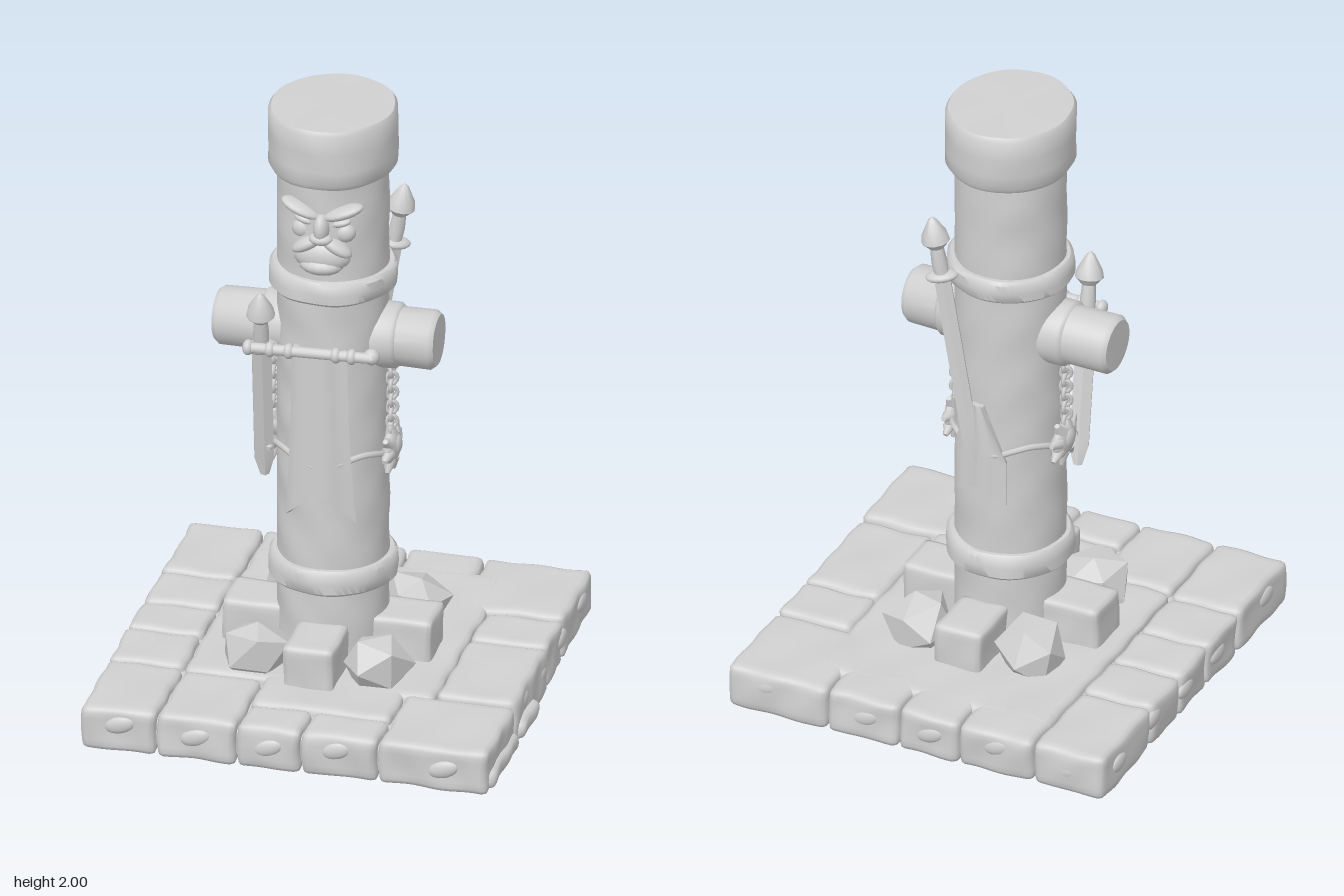
import * as THREE from 'three';
import { mergeVertices, toCreasedNormals } from 'three/addons/utils/BufferGeometryUtils.js';

const stoneGrey = new THREE.MeshStandardMaterial({ color: 0xd0d0d0 });
stoneGrey.name = 'stone grey';

function add(parent, name, geometry, x = 0, y = 0, z = 0) {
  const mesh = new THREE.Mesh(geometry, stoneGrey);
  mesh.name = name;
  mesh.position.set(x, y, z);
  parent.add(mesh);
  return mesh;
}

function group(parent, name, x = 0, y = 0, z = 0) {
  const g = new THREE.Group();
  g.name = name;
  g.position.set(x, y, z);
  parent.add(g);
  return g;
}

// Moves every vertex by a rule
function reshape(geo, rule) {
  const p = geo.attributes.position, v = new THREE.Vector3();
  for (let i = 0; i < p.count; i++) {
    rule(v.fromBufferAttribute(p, i));
    p.setXYZ(i, v.x, v.y, v.z);
  }
  geo.computeVertexNormals();
  return geo;
}

// Smooth wear, the same for touching stones
const wear = (v, amp) => {
  const { x, y, z } = v;
  v.x += amp * Math.sin(31 * y + 17 * z + 1) * Math.sin(23 * z + 2);
  v.y += amp * Math.sin(19 * x + 1) * Math.sin(16 * z + 9 * x) * 0.7;
  v.z += amp * Math.sin(29 * y + 15 * x + 4) * Math.sin(21 * x);
};

// Rounded, worn block between two corners
function block(parent, name, [x0, x1], [y0, y1], [z0, z1], r = 0.02, amp = 0.005) {
  const size = [x1 - x0, y1 - y0, z1 - z0];
  const raw = new THREE.BoxGeometry(...size, ...size.map(s => Math.ceil(s / 0.02)));
  raw.deleteAttribute('uv');
  raw.deleteAttribute('normal');
  const half = new THREE.Vector3(...size).multiplyScalar(0.5).subScalar(r);
  const low = half.clone().negate(), inner = new THREE.Vector3();
  const centre = new THREE.Vector3(x0 + x1, y0 + y1, z0 + z1).multiplyScalar(0.5);
  return add(parent, name, reshape(mergeVertices(raw), v => {
    inner.copy(v).clamp(low, half);
    v.sub(inner).setLength(r).add(inner).add(centre);
    wear(v, amp);
  }));
}

// Turned part with crisp rims
function turned(parent, name, profile, amp = 0.003, segments = 56) {
  const geo = new THREE.LatheGeometry(profile.map(p => new THREE.Vector2(...p)), segments);
  reshape(geo, v => wear(v, amp));
  return add(parent, name, toCreasedNormals(geo, 0.75));
}

function blob(parent, name, x, y, z, sx, sy, sz, tilt = 0) {
  const m = add(parent, name, new THREE.SphereGeometry(1, 16, 12), x, y, z);
  m.scale.set(sx, sy, sz);
  m.rotation.z = tilt;
  return m;
}

// Swallow-tailed cloth wrapped round the shaft; width is a function of t
function cloth(parent, name, top, length, notch, width, radius) {
  const geo = new THREE.BoxGeometry(1, 1, 0.02, 12, 20, 1);
  reshape(geo, v => {
    const t = 0.5 - v.y;
    const a = (v.x * width(t)) / radius;
    const R = radius + v.z + 0.004 * Math.sin(v.x * 14);
    const y = top - t * (length - notch * (1 - Math.abs(v.x) * 2));
    v.set(Math.sin(a) * R, y, Math.cos(a) * R);
  });
  return add(parent, name, toCreasedNormals(geo, 0.7));
}

function sword(parent, name, from, to, bladeWidth, turn) {
  const a = new THREE.Vector3(...from), d = new THREE.Vector3(...to).sub(a), len = d.length();
  const g = group(parent, name, ...from);
  g.quaternion.setFromUnitVectors(new THREE.Vector3(0, -1, 0), d.normalize());
  g.rotateY(turn);
  turned(g, 'swordPommel', [[0, -0.11], [0.024, -0.108], [0.045, -0.085], [0.04, -0.06], [0.014, -0.012], [0, 0]], 0, 12);
  turned(g, 'swordGrip', [[0, -0.22], [0.022, -0.22], [0.025, -0.16], [0.02, -0.09], [0, -0.09]], 0, 12);
  blob(g, 'swordGuard', 0, -0.21, 0, 0.052, 0.018, 0.035);
  const bl = len - 0.2;
  const blade = reshape(new THREE.BoxGeometry(1, bl, 0.03, 2, 8, 1), v => {
    const t = 0.5 - v.y / bl;
    v.z *= v.x === 0 ? 1 : 0.5;
    v.x *= bladeWidth * (t > 0.95 ? 0.45 : 1);
  });
  add(g, 'swordBlade', toCreasedNormals(blade, 0.4), 0, -0.2 - bl / 2, 0);
}

// Paved base
function buildBase(root) {
  const base = group(root, 'base');
  const Y = [0.006, 0.152];
  const tile = (x, z) => block(base, 'pavingStone', x, Y, z);
  block(base, 'baseCore', [-0.62, 0.6], [0.022, 0.125], [-0.62, 0.62]);
  block(base, 'centreSlab', [-0.412, 0.385], [0.05, 0.152], [-0.54, 0.325]);
  block(base, 'centreSlab', [-0.157, 0.287], [0.05, 0.152], [0.2, 0.49]);
  for (const z of [[-0.655, -0.312], [-0.304, -0.108], [-0.1, 0.084], [0.09, 0.302], [0.31, 0.65]]) tile([-0.655, -0.418], z);
  for (const x of [[-0.412, -0.163], [-0.157, 0.042], [0.048, 0.287]]) {
    tile(x, [-0.655, -0.45]);
    tile(x, [x[0] < -0.4 ? 0.33 : 0.495, 0.65]);
  }
  tile([0.293, 0.628], [-0.655, -0.31]);
  tile([0.385, 0.63], [-0.296, -0.108]);
  tile([0.385, 0.635], [-0.1, 0.29]);
  tile([0.293, 0.64], [0.31, 0.65]);
  // Slabs seen from underneath
  const Y0 = [0.006, 0.09];
  block(base, 'underSlab', [-0.412, 0.042], Y0, [-0.443, 0.322]);
  for (const z of [[-0.443, -0.302], [-0.296, -0.104], [-0.098, 0.084], [0.09, 0.302]]) block(base, 'underSlab', [0.048, 0.379], Y0, z);
  block(base, 'underSlab', [-0.157, 0.287], Y0, [0.31, 0.489]);
  // Broken lower lip on the left edge and bumps round the rim
  block(base, 'chippedLip', [0.56, 0.66], [0.012, 0.075], [0.08, 0.27], 0.028);
  block(base, 'chippedLip', [0.56, 0.66], [0.012, 0.075], [0.31, 0.62], 0.028);
  [-0.53, -0.29, -0.06, 0.16, 0.5].forEach((u, i) => {
    for (const s of [-1, 1]) {
      const y = 0.09 + 0.012 * Math.sin(2.3 * i + s);
      blob(base, 'rimBump', u, y, s * 0.645, 0.05, 0.028, 0.016, 0.3 * s);
      blob(base, 'rimBump', s < 0 ? -0.65 : 0.625, y, u, 0.014, 0.028, 0.05);
    }
  });
}

// Ring of footing stones
function buildFooting(root) {
  const f = group(root, 'footing');
  for (const [x, z] of [
    [[-0.09, 0.068], [0.15, 0.355]], [[-0.09, 0.068], [-0.358, -0.15]],
    [[-0.355, -0.15], [-0.08, 0.088]], [[0.1, 0.31], [-0.08, 0.088]],
  ]) block(f, 'footingBlock', x, [0.12, 0.284], z, 0.012, 0.003);
  [[-0.205, -0.225], [0.175, -0.225], [-0.205, 0.222], [0.175, 0.222]].forEach(([x, z], i) => {
    const rock = new THREE.IcosahedronGeometry(0.112).rotateX(0.5 + i * 0.9).rotateY(i * 1.3);
    reshape(rock, v => {
      wear(v, 0.014);
      v.y = Math.min(v.y, 0.088);
    });
    add(f, 'boulder', rock, x, 0.196, z);
  });
}

// Bearded, scowling face
function buildFace(pillar) {
  const face = group(pillar, 'carvedFace', 0.008);
  for (const s of [-1, 1]) {
    blob(face, 'brow', s * 0.066, 1.708, 0.158, 0.07, 0.02, 0.042, s * 0.38);
    blob(face, 'eye', s * 0.055, 1.668, 0.152, 0.036, 0.014, 0.022, s * 0.25);
    blob(face, 'cheek', s * 0.066, 1.632, 0.14, 0.036, 0.034, 0.03);
    blob(face, 'moustache', s * 0.045, 1.592, 0.164, 0.058, 0.022, 0.034, -s * 0.55);
  }
  blob(face, 'nose', 0, 1.65, 0.168, 0.026, 0.05, 0.04);
  blob(face, 'noseTip', 0, 1.618, 0.178, 0.038, 0.02, 0.03);
  blob(face, 'beard', -0.004, 1.55, 0.15, 0.092, 0.056, 0.046);
  blob(face, 'chin', -0.004, 1.52, 0.155, 0.07, 0.032, 0.052);
}

// Chain with a spiked charm on each flank
function buildChain(pillar, s) {
  const g = group(pillar, 'hangingChain');
  for (let i = 0; i < 10; i++) {
    const link = add(g, 'chainLink', new THREE.TorusGeometry(0.017, 0.007, 6, 12), s * 0.187, 1.125 - i * 0.025, 0.002);
    link.scale.y = 1.15;
    link.rotation.y = i % 2 ? Math.PI / 2 : 0.4;
  }
  const charm = group(g, 'spikedCharm', s * 0.185, 0.838, -0.005);
  blob(charm, 'charmBody', 0, 0, 0, 0.026, 0.06, 0.066);
  blob(charm, 'charmBoss', s * 0.012, 0.005, 0, 0.02, 0.036, 0.036);
  for (let i = 0; i < 8; i++) {
    const a = (i / 8) * Math.PI * 2 + 0.2;
    const spike = add(charm, 'charmSpike', new THREE.CylinderGeometry(0.008, 0.023, 0.045, 8), 0, Math.cos(a) * 0.064, Math.sin(a) * 0.068);
    spike.rotation.x = a;
  }
}

export function createModel() {
  const root = new THREE.Group();
  root.name = 'stonePillar';
  buildBase(root);
  buildFooting(root);

  // Shaft, bands and cap
  const pillar = group(root, 'pillar', -0.022, 0, 0.002);
  const shaftProfile = [[0, 0.1]];
  for (let i = 0; i <= 40; i++) shaftProfile.push([0.173, 0.1 + i * 0.043]);
  turned(pillar, 'shaft', shaftProfile);
  for (const [y0, y1] of [[0.388, 0.472], [1.39, 1.468]]) {
    turned(pillar, 'band', [[0.165, y0], [0.188, y0], [0.198, y0 + 0.01], [0.199, (y0 + y1) / 2], [0.196, y1 - 0.01], [0.186, y1], [0.165, y1]], 0.004);
  }
  turned(pillar, 'cap', [[0.165, 1.795], [0.188, 1.797], [0.199, 1.815], [0.2, 1.86], [0.2, 1.92], [0.199, 1.985], [0.19, 1.998], [0.1, 1.998], [0, 1.998]]).scale.z = 1.07;

  // Side pegs with collars
  for (const [s, end] of [[-1, 0.366], [1, 0.337]]) {
    const peg = turned(pillar, 'sidePeg', [[0.104, 0.14], [0.104, 0.205], [0.098, 0.213], [0.093, 0.217], [0.093, end - 0.016], [0.08, end], [0, end]], 0.002, 40);
    peg.position.y = 1.223;
    peg.rotation.z = -s * Math.PI / 2;
    buildChain(pillar, s);
  }
  buildFace(pillar);

  // Front banner
  cloth(pillar, 'frontBanner', 1.23, 0.59, 0.1, t => 0.175 + 0.055 * t * t, 0.181);

  // Knotted banner rod
  const rod = group(pillar, 'bannerRod', -0.022, 1.222, 0.184);
  rod.rotation.z = 0.03;
  add(rod, 'rod', new THREE.CylinderGeometry(0.017, 0.017, 0.4, 14)).rotation.z = Math.PI / 2;
  for (const x of [-0.2, -0.13, -0.07, 0.08, 0.13]) blob(rod, 'rodKnot', x, 0, 0, 0.018, 0.025, 0.025);
  blob(rod, 'rodEnd', 0.19, 0, -0.012, 0.026, 0.026, 0.026);

  // Cord tied round the shaft
  const loop = Array.from({ length: 24 }, (_, i) => {
    const a = (i / 24) * Math.PI * 2;
    return new THREE.Vector3(Math.sin(a) * 0.18, 0.842 + 0.016 * Math.cos(4 * a + Math.PI), Math.cos(a) * 0.18);
  });
  add(pillar, 'cord', new THREE.TubeGeometry(new THREE.CatmullRomCurve3(loop, true), 72, 0.01, 6, true));

  // Swords and the split pennant at the back
  sword(pillar, 'frontSword', [-0.183, 1.41, 0.188], [-0.205, 0.72, 0.05], 0.06, 0.35);
  sword(pillar, 'backSword', [0.178, 1.65, -0.192], [0.035, 0.8, -0.185], 0.05, 0.4);
  const pennant = cloth(pillar, 'backPennant', 1.0, 0.345, 0.05, t => 0.05 + 0.15 * Math.min(1, t * 1.8), 0.18);
  pennant.rotation.y = Math.PI - 0.17;
  return root;
}
